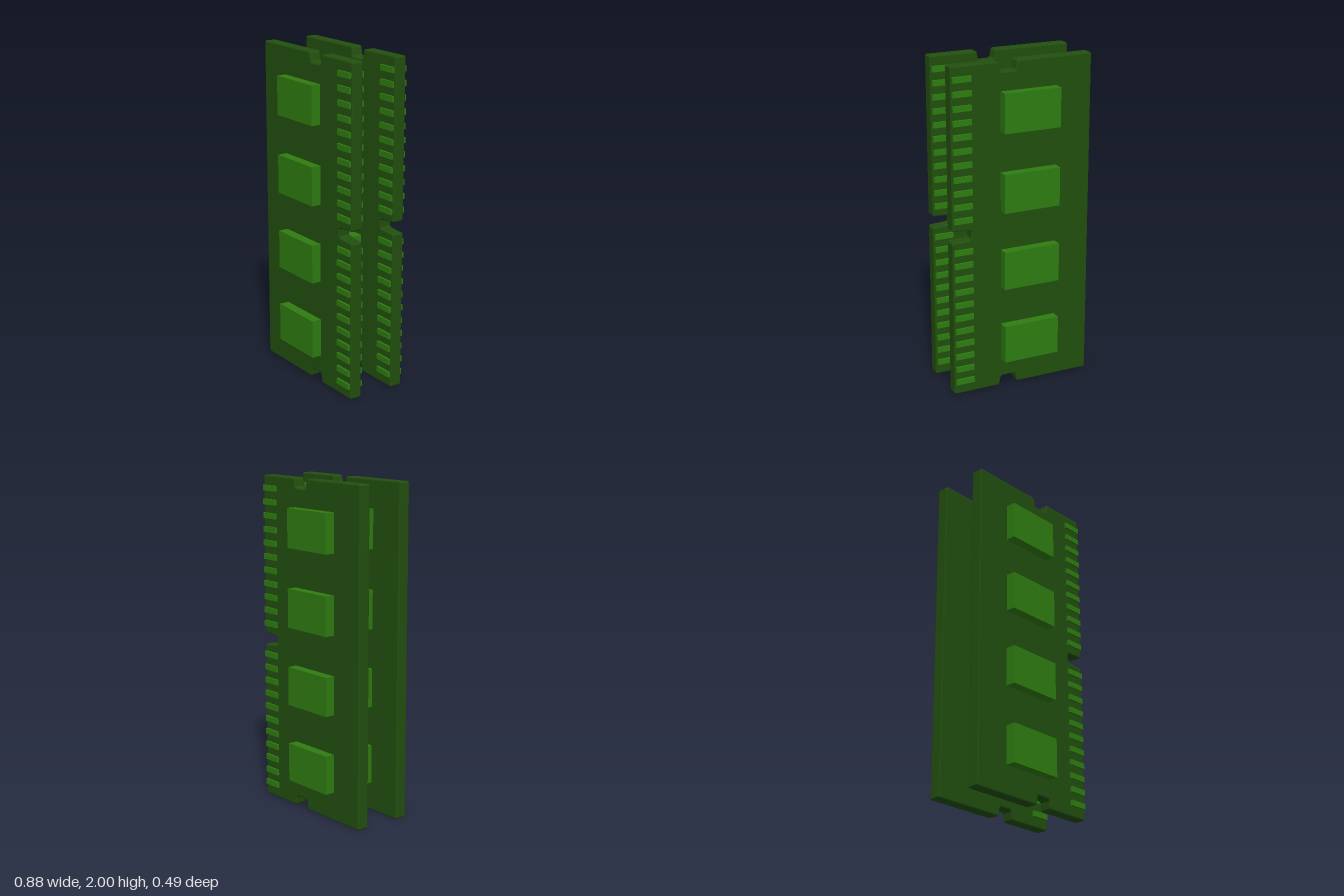
import * as THREE from 'three';

const boardGreen = new THREE.MeshStandardMaterial({ name: 'boardGreen', color: 0x224f0f });
const chipGreen = new THREE.MeshStandardMaterial({ name: 'chipGreen', color: 0x2e7c10 });

const THICK = 0.074, BEVEL = 0.008;

// Notched outline, going anticlockwise from the lower left corner
function boardGeometry() {
  const bottom = [[0.022, 0], [0.031, 0.009], [0.039, 0.05], [0.049, 0.059],
    [0.126, 0.059], [0.136, 0.05], [0.144, 0.009], [0.153, 0]];
  const lowerRight = [[0.432, 0], [0.44, 0.008], [0.44, 0.957], [0.432, 0.965],
    [0.332, 0.971], [0.322, 0.98]];
  const lower = [[-0.44, 0.008], [-0.432, 0], ...bottom, ...lowerRight];
  const upper = lower.map(([x, y]) => [x, 2 - y]).reverse();
  const shape = new THREE.Shape([...lower, ...upper].map(([x, y]) => new THREE.Vector2(x, y)));
  const geometry = new THREE.ExtrudeGeometry(shape, {
    depth: THICK - 2 * BEVEL, bevelEnabled: true, bevelThickness: BEVEL,
    bevelSize: BEVEL, bevelOffset: -BEVEL, bevelSegments: 2,
  });
  return geometry.translate(0, 0, BEVEL - THICK / 2);
}

export function createModel() {
  const model = new THREE.Group();
  model.name = 'memoryModules';
  const boardShape = boardGeometry();
  const chipShape = new THREE.BoxGeometry(0.352, 0.234, 0.194);
  const contactShape = new THREE.BoxGeometry(0.115, 0.034, 0.1);

  for (const z of [0.148, -0.148]) {
    const module = new THREE.Group();
    module.name = z > 0 ? 'frontModule' : 'backModule';
    module.position.z = z;
    const add = (name, geometry, material, x, y) => {
      const mesh = new THREE.Mesh(geometry, material);
      mesh.name = name;
      mesh.position.set(x, y, 0);
      module.add(mesh);
    };

    add('circuitBoard', boardShape, boardGreen, 0, 0);

    // Chips stand out on both faces of the board
    for (let i = 0; i < 4; i++) add('chip', chipShape, chipGreen, -0.041, 0.291 + i * 0.474);

    // Two banks of edge contacts, either side of the key notch
    for (const start of [0.081, 1.099]) {
      for (let i = 0; i < 11; i++) add('contact', contactShape, chipGreen, 0.373, start + i * 0.0825);
    }
    model.add(module);
  }
  return model;
}
